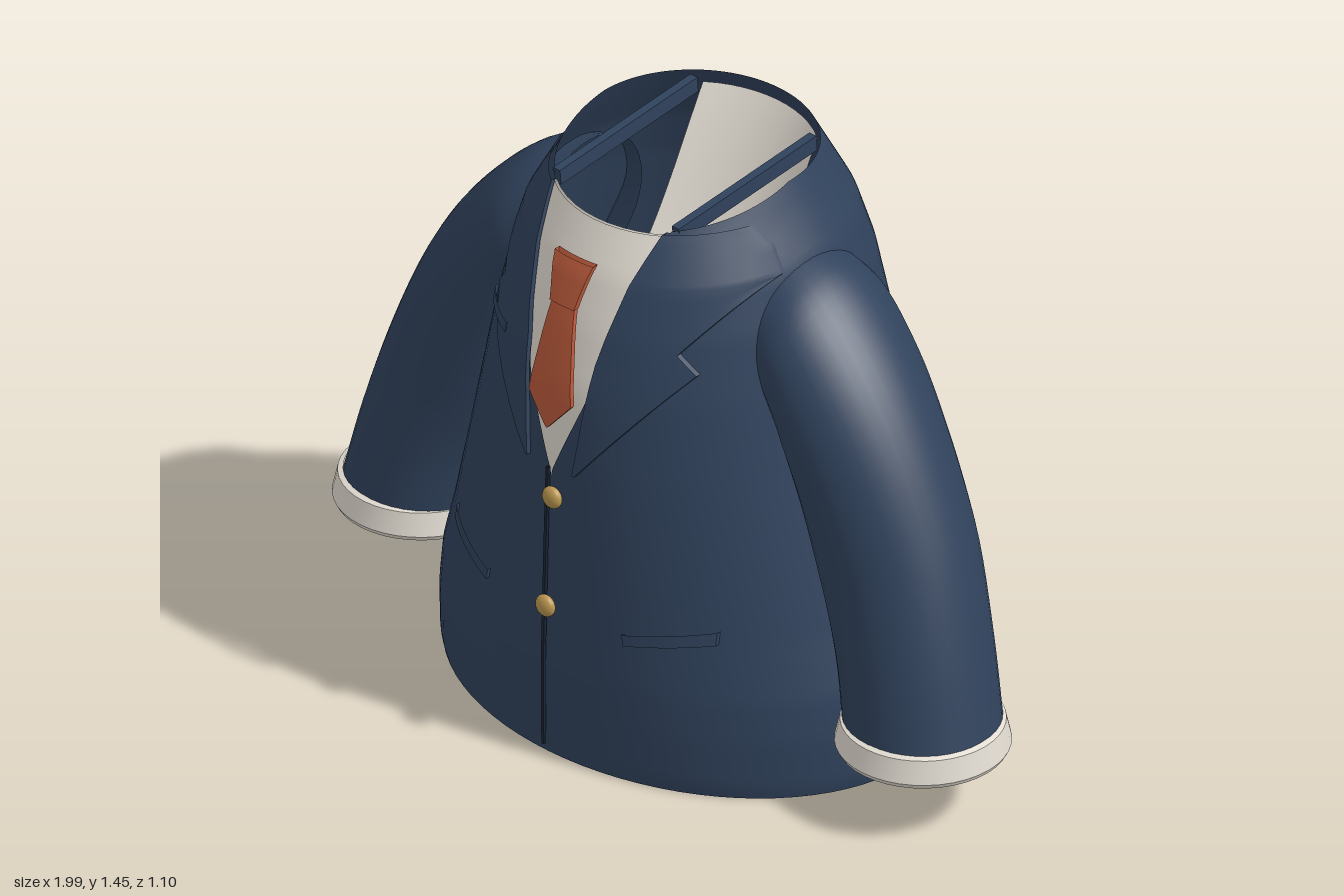
import * as THREE from 'three';
import { toCreasedNormals } from 'three/addons/utils/BufferGeometryUtils.js';

const mat = (name, color) => {
  const m = new THREE.MeshStandardMaterial({ color, side: THREE.DoubleSide });
  m.name = name;
  return m;
};
const lerp = THREE.MathUtils.lerp;

// Jacket body sections: height, half width, front depth, back depth
const BODY = [
  [0, 0.65, 0.505, 0.53], [0.03, 0.657, 0.51, 0.535], [0.15, 0.658, 0.512, 0.542],
  [0.25, 0.645, 0.512, 0.548], [0.4, 0.6, 0.508, 0.53], [0.6, 0.55, 0.502, 0.495],
  [0.8, 0.5, 0.495, 0.463], [1.0, 0.455, 0.478, 0.44], [1.15, 0.42, 0.447, 0.412],
  [1.28, 0.38, 0.408, 0.37], [1.38, 0.325, 0.36, 0.318], [1.45, 0.29, 0.32, 0.28],
];
// Half width of the neck opening by height
const OPENING = [[0, 0], [0.78, 0], [1.0, 0.085], [1.23, 0.135], [1.45, 0.183]];

// Linear lookup of one column by height
function look(table, y, col) {
  let i = 0;
  while (i < table.length - 2 && y > table[i + 1][0]) i++;
  const a = table[i], b = table[i + 1];
  const t = THREE.MathUtils.clamp((y - a[0]) / (b[0] - a[0]), 0, 1);
  return lerp(a[col], b[col], t);
}

// Depth of the jacket front at a point
function frontZ(x, y) {
  const r = Math.min(Math.abs(x) / look(BODY, y, 1), 0.985);
  return look(BODY, y, 2) * Math.sqrt(1 - r * r);
}

// Skin over rings of equal point count
function loft(rings, closed) {
  const n = rings[0].length, index = [];
  for (let r = 0; r < rings.length - 1; r++) {
    for (let i = 0; i < (closed ? n : n - 1); i++) {
      const j = (i + 1) % n, a = r * n + i, b = r * n + j;
      index.push(a, b, b + n, a, b + n, a + n);
    }
  }
  const g = new THREE.BufferGeometry();
  g.setAttribute('position', new THREE.Float32BufferAttribute(rings.flat(2), 3));
  g.setIndex(index);
  g.computeVertexNormals();
  return g;
}

// Thin plate following the jacket front; rows run upward as [xa, ya, xb, yb]
function drape(rows, lift, thick, side = 1) {
  const n = 10, steps = 6, rings = [];
  for (let r = 0; r < rows.length - 1; r++) {
    for (let k = r ? 1 : 0; k <= steps; k++) {
      let [xa, ya, xb, yb] = rows[r].map((v, c) => lerp(v, rows[r + 1][c], k / steps));
      if (side < 0) [xa, ya, xb, yb] = [-xb, yb, -xa, ya];
      const front = [], back = [];
      for (let i = 0; i <= n; i++) {
        const x = lerp(xa, xb, i / n), y = lerp(ya, yb, i / n), z = frontZ(x, y) + lift;
        front.push([x, y, z]);
        back.unshift([x, y, z - thick]);
      }
      rings.push([...front, ...back]);
    }
  }
  return toCreasedNormals(loft(rings, true), 0.7);
}

const even = (rows) => rows.map(([y, w]) => [-w, y, w, y]);

function bodyGeometry() {
  const rings = [], rows = 72, seg = 80;
  for (let r = 0; r <= rows; r++) {
    const v = r / rows, y0 = v * 1.42;
    const start = Math.asin(look(OPENING, y0, 1) / look(BODY, y0, 1));
    const ring = [];
    for (let i = 0; i <= seg; i++) {
      const a = lerp(start, 2 * Math.PI - start, i / seg), c = Math.cos(a);
      const y = v * (1.45 - 0.064 * Math.max(0, c)); // rim dips at the front
      ring.push([look(BODY, y, 1) * Math.sin(a), y, look(BODY, y, c > 0 ? 2 : 3) * c]);
    }
    rings.push(ring);
  }
  return loft(rings, false);
}

// Sleeve lines from cuff to shoulder
const curve = (pts) => new THREE.CatmullRomCurve3(pts.map((p) => new THREE.Vector3(p[0], p[1], 0)));
const OUTER = curve([[0.975, 0.22], [0.92, 0.45], [0.84, 0.7], [0.72, 0.95], [0.6, 1.12], [0.46, 1.25], [0.33, 1.3]]);
const INNER = curve([[0.6, 0.22], [0.565, 0.36], [0.51, 0.5], [0.46, 0.68], [0.42, 0.8], [0.38, 0.9], [0.33, 0.95]]);
const DEPTH = curve([[0.082, 0.186], [0.062, 0.187], [0.04, 0.193], [0.035, 0.2], [0.028, 0.207], [0.02, 0.205], [0.01, 0.18]]);

function ovalRing(side, cx, cy, cz, hx, hy, hz) {
  return Array.from({ length: 40 }, (_, i) => {
    const a = (i / 40) * 2 * Math.PI, s = Math.sin(side * a);
    return [side * (cx + hx * s), cy + hy * s, cz + hz * Math.cos(a)];
  });
}

function sleeveGeometry(side) {
  const rings = [];
  for (let k = 0; k <= 32; k++) {
    const o = OUTER.getPoint(k / 32), n = INNER.getPoint(k / 32), d = DEPTH.getPoint(k / 32);
    rings.push(ovalRing(side, (o.x + n.x) / 2, (o.y + n.y) / 2, d.x, (o.x - n.x) / 2, (o.y - n.y) / 2, d.y));
  }
  return loft(rings, true);
}

// Cuff band with rolled lower edge: inside, bottom, outside, top
function cuffGeometry(side) {
  const profile = [[0.235, 0.172], [0.172, 0.182], [0.168, 0.2], [0.18, 0.206], [0.238, 0.193], [0.243, 0.18]];
  const rings = profile.map(([y, r]) => ovalRing(side, 0.79, y, 0.085, r, 0, r));
  return toCreasedNormals(loft(rings, true), 0.6);
}

// Inner back of the shirt, falling from the collar toward the front
function shirtBackGeometry() {
  const path = new THREE.CatmullRomCurve3(
    [[0.5, 0.42], [0.8, 0.17], [1.1, -0.08], [1.42, -0.275]].map(([y, z]) => new THREE.Vector3(0, y, z)));
  const rings = path.getPoints(20).map((p, k) => Array.from({ length: 13 }, (_, i) => {
    const x = lerp(-0.18, 0.18, i / 12);
    return [x, p.y, p.z + (k / 20) * 0.275 * (1 - Math.sqrt(1 - (x / 0.29) ** 2))];
  }));
  return loft(rings, false);
}

export function createModel() {
  const navy = mat('navyCloth', 0x30425c);
  const dark = mat('darkSeam', 0x1b2636);
  const cream = mat('creamShirt', 0xe2dcd2);
  const rust = mat('rustTie', 0xba5a3b);
  const gold = mat('goldButton', 0xb8954f);

  const group = new THREE.Group();
  group.name = 'suitJacket';
  const add = (name, geometry, material) => {
    const m = new THREE.Mesh(geometry, material);
    m.name = name;
    group.add(m);
    return m;
  };

  add('jacketBody', bodyGeometry(), navy);

  // Shirt and tie
  add('shirtFront', drape(even([[0.74, 0.03], [1.0, 0.105], [1.23, 0.152], [1.385, 0.182]]), -0.006, 0.008), cream);
  add('shirtBack', shirtBackGeometry(), cream);
  add('tieBlade', drape(even([[0.89, 0.002], [0.965, 0.066], [1.21, 0.034]]), 0.026, 0.012), rust);
  add('tieKnot', drape(even([[1.2, 0.038], [1.23, 0.043], [1.31, 0.06]]), 0.031, 0.016), rust);

  // Front seam
  add('frontSeam', drape(even([[0.03, 0.004], [0.3, 0.004], [0.78, 0.004]]), 0.016, 0.008), dark);

  for (const side of [1, -1]) {
    const hand = side > 0 ? 'left' : 'right';
    add(hand + 'Sleeve', sleeveGeometry(side), navy);
    add(hand + 'Cuff', cuffGeometry(side), cream);

    // Notched lapel and collar
    const lapel = [[0.78, 0.07, 0.076], [1.08, 0.105, 0.31], [1.13, 0.115, 0.27],
      [1.28, 0.145, 0.368], [1.34, 0.16, 0.335], [1.395, 0.174, 0.295]];
    add(hand + 'Lapel', drape(lapel.map(([y, a, b]) => [a, y, b, y]), 0.013, 0.014, side), navy);

    // Collar edge running back along the neck
    const edge = add(hand + 'CollarEdge', new THREE.BoxGeometry(0.022, 0.04, 0.47), navy);
    edge.position.set(side * 0.187, 1.405, 0.04);
    edge.rotation.x = 0.08;

    add(hand + 'Pocket', drape([[0.215, 0.37, 0.41, 0.405], [0.21, 0.398, 0.41, 0.438]], 0.01, 0.012, side), navy);
  }
  add('breastPocket', drape([[-0.33, 1.027, -0.2, 1.03], [-0.33, 1.05, -0.2, 1.053]], 0.016, 0.012), navy);

  // Buttons
  for (const [y, z] of [[0.705, 0.512], [0.42, 0.535]]) {
    const b = add('button', new THREE.SphereGeometry(0.028, 20, 14), gold);
    b.scale.z = 0.6;
    b.position.set(0.017, y, z);
  }
  return group;
}
